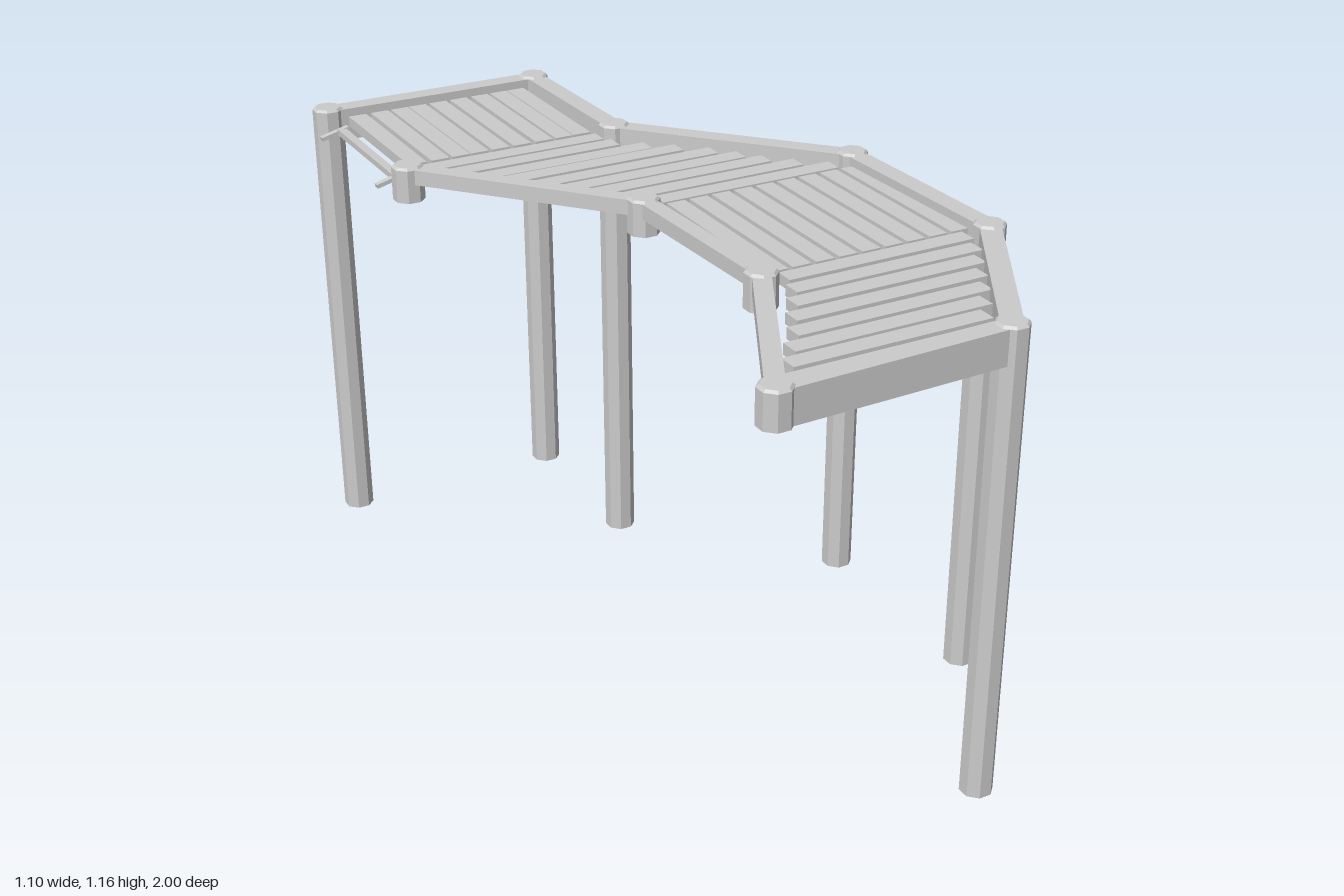
import * as THREE from 'three';

const TOP = 1.163;

export function createModel() {
  const model = new THREE.Group();
  const mat = new THREE.MeshStandardMaterial({ color: 0xcccccc, flatShading: true });

  const add = (name, geo, x, y, z, parent = model) => {
    const mesh = new THREE.Mesh(geo, mat);
    mesh.name = name;
    mesh.position.set(x, y, z);
    parent.add(mesh);
    return mesh;
  };

  // Octagonal post with a small chamfer at its top
  const post = (name, [x, z], bottom) => {
    const r = 0.039, c = 0.006;
    const profile = [[0, bottom], [r, bottom], [r, TOP - c], [r - c, TOP], [0, TOP]];
    const geo = new THREE.LatheGeometry(profile.map(p => new THREE.Vector2(...p)), 8, Math.PI / 8);
    add(name, geo, x, 0, z);
  };

  // Beam between two post centres
  const beam = (name, [ax, az], [bx, bz], width, low, high) => {
    const length = Math.hypot(bx - ax, bz - az);
    const geo = new THREE.BoxGeometry(width, high - low, length);
    const mesh = add(name, geo, (ax + bx) / 2, (low + high) / 2, (az + bz) / 2);
    mesh.rotation.y = Math.atan2(bx - ax, bz - az);
  };

  // Long legs run down the left side, short stubs hang along the right side
  const legs = [[0.07, -0.96], [0.08, -0.505], [0.495, -0.045], [0.51, 0.495], [0.235, 0.945]];
  const stubs = [[-0.49, -0.475], [-0.095, -0.015], [-0.075, 0.48], [-0.33, 0.96]];
  const corner = [-0.51, -0.965];

  [corner, ...legs].forEach(p => post('leg', p, 0));
  stubs.forEach(p => post('stubPost', p, 1.075));

  for (let i = 0; i < 4; i++) beam('leftBeam', legs[i], legs[i + 1], 0.05, 1.075, 1.157);
  for (let i = 0; i < 3; i++) beam('rightRail', stubs[i], stubs[i + 1], 0.042, 1.12, 1.157);
  beam('backBeam', corner, legs[0], 0.05, 1.075, 1.157);
  beam('frontBeam', stubs[3], legs[4], 0.05, 1.075, 1.157);

  // Deck slats, alternating direction from bay to bay
  const SLAT_Y = 1.123, THICK = 0.026, WIDE = 0.047;
  const bays = ['backSlats', 'middleBackSlats', 'middleFrontSlats', 'frontSlats'].map(name => {
    const bay = new THREE.Group();
    bay.name = name;
    model.add(bay);
    return bay;
  });
  const slatAlongZ = (bay, x, z0, z1) =>
    add('slat', new THREE.BoxGeometry(WIDE, THICK, z1 - z0), x, SLAT_Y, (z0 + z1) / 2, bay);
  const slatAlongX = (bay, z, x0) =>
    add('slat', new THREE.BoxGeometry(0.48, THICK, WIDE), x0 + 0.24, SLAT_Y, z, bay);

  [-0.44, -0.38, -0.325, -0.275, -0.218, -0.16, -0.1, -0.045, 0.005]
    .forEach(x => slatAlongZ(bays[0], x, -0.94, -0.535));
  [[-0.497, -0.445], [-0.44, -0.43], [-0.38, -0.37], [-0.33, -0.31], [-0.27, -0.245],
    [-0.213, -0.2], [-0.158, -0.16], [-0.1, -0.105], [-0.042, -0.04]]
    .forEach(([z, x]) => slatAlongX(bays[1], z, x));
  for (let i = 0; i < 9; i++) slatAlongZ(bays[2], -0.013 + i * 0.0595, -0.01, 0.45);
  [[0.483, -0.02], [0.545, -0.04], [0.605, -0.075], [0.667, -0.115], [0.73, -0.15],
    [0.79, -0.195], [0.848, -0.235], [0.91, -0.275]]
    .forEach(([z, x]) => slatAlongX(bays[3], z, x));

  // Narrow rod with tilted end brackets across the open side of the back bay
  add('openSideRod', new THREE.BoxGeometry(0.022, 0.015, 0.38), -0.495, 1.11, -0.725);
  for (const z of [-0.915, -0.535]) {
    const bracket = add('rodBracket', new THREE.BoxGeometry(0.076, 0.01, 0.016), -0.513, 1.107, z);
    bracket.rotation.z = 0.25;
  }
  return model;
}
